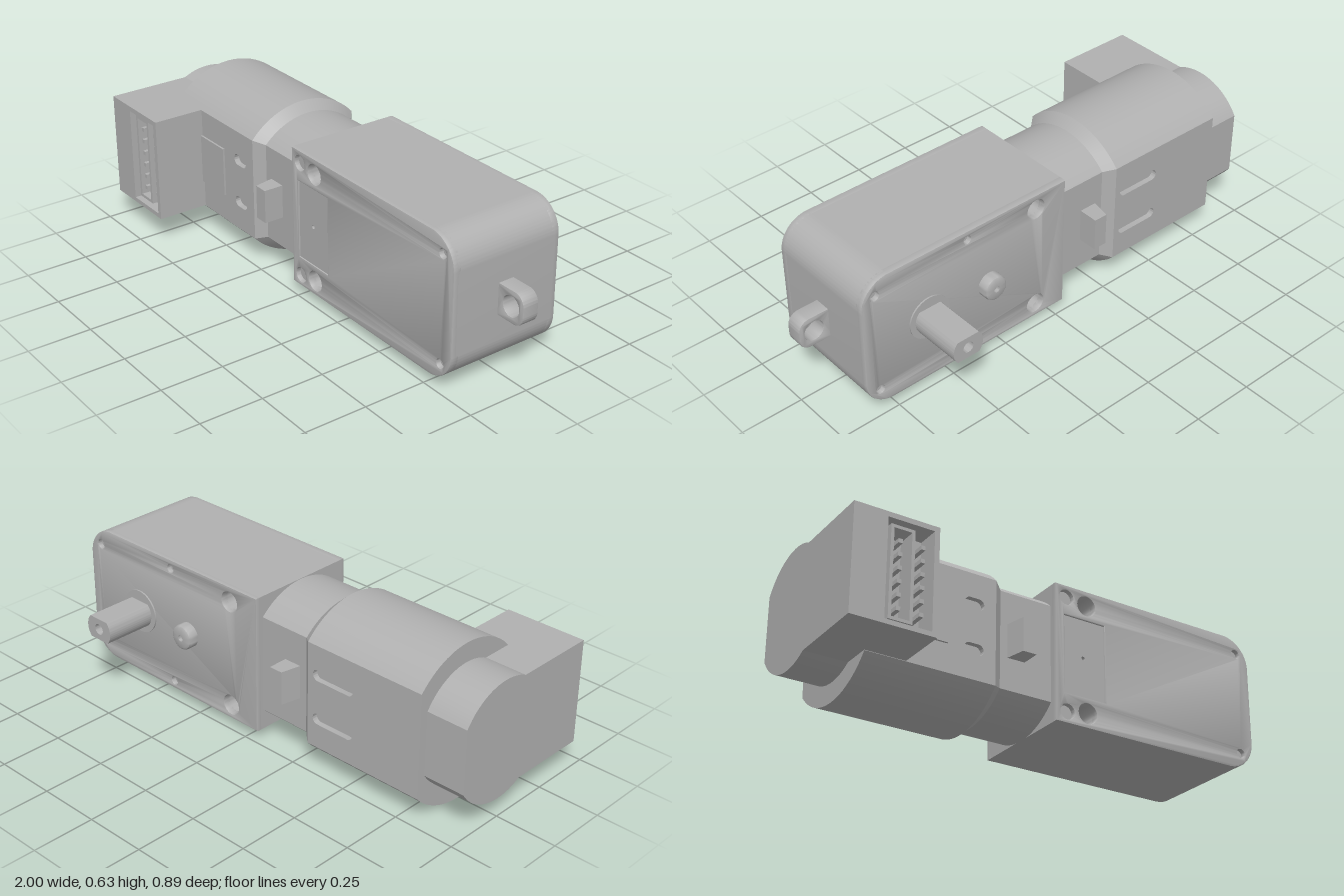
import * as THREE from 'three';
import { toCreasedNormals } from 'three/addons/utils/BufferGeometryUtils.js';

const CY = 0.318; // height of the motor axis

export function createModel() {
  const group = new THREE.Group();
  const grey = new THREE.MeshStandardMaterial({ color: 0xb0b0b0 });
  grey.name = 'plain grey';

  const add = (name, geo, x = 0, y = 0, z = 0) => {
    const mesh = new THREE.Mesh(geo, grey);
    mesh.name = name;
    mesh.position.set(x, y, z);
    group.add(mesh);
    return mesh;
  };
  const box = (name, x0, x1, y0, y1, z0, z1) =>
    add(name, new THREE.BoxGeometry(x1 - x0, y1 - y0, z1 - z0), (x0 + x1) / 2, (y0 + y1) / 2, (z0 + z1) / 2);

  // Outline helpers
  const circle = (x, y, r, Type = THREE.Path) => new Type().absarc(x, y, r, 0, Math.PI * 2, false);
  const poly = (pts, Type = THREE.Path) => new Type(pts.map(([x, y]) => new THREE.Vector2(x, y)));
  const rect = (x0, x1, y0, y1, Type) => poly([[x0, y0], [x1, y0], [x1, y1], [x0, y1]], Type);
  const slot = (x, y, len, r) => {
    const p = new THREE.Path();
    p.absarc(x + len / 2 - r, y, r, -Math.PI / 2, Math.PI / 2, false);
    p.absarc(x - len / 2 + r, y, r, Math.PI / 2, Math.PI * 1.5, false);
    return p;
  };
  // Extrusion between two z values, with an optional small edge bevel
  const slab = (name, shape, holes, z0, z1, bevel = 0) => {
    shape.holes.push(...holes);
    const geo = new THREE.ExtrudeGeometry(shape, {
      depth: z1 - z0 - 2 * bevel, curveSegments: 16, bevelEnabled: bevel > 0,
      bevelThickness: bevel, bevelSize: bevel, bevelOffset: -bevel, bevelSegments: 2,
    });
    return add(name, toCreasedNormals(geo, 0.5), 0, 0, z0 + bevel);
  };

  // Motor can, neck and rear cap: round sections with flattened sides, lofted along x
  const section = (r, flat, d) => {
    const a = Math.acos(flat / r), h = 0.95 * r * Math.sin(a), pts = [], n = 24;
    for (const s of [1, -1]) {
      pts.push([s * flat, -s * h], [s * (flat - d), -s * h], [s * (flat - d), s * h], [s * flat, s * h]);
      for (let i = 0; i <= n; i++) {
        const t = a + (Math.PI - 2 * a) * i / n;
        pts.push([s * r * Math.cos(t), s * r * Math.sin(t)]);
      }
    }
    return pts;
  };
  const loft = (stations) => {
    const pos = [], idx = [];
    const rings = stations.map(([x, r, flat, d]) => section(r, flat, d).map(([z, y]) => [x, y, z]));
    const n = rings[0].length;
    rings.forEach((ring) => ring.forEach((p) => pos.push(...p)));
    for (let k = 0; k < rings.length - 1; k++) {
      for (let i = 0; i < n; i++) {
        const a = k * n + i, b = k * n + (i + 1) % n;
        idx.push(a, a + n, b, a + n, b + n, b);
      }
    }
    const c0 = rings.length * n, last = c0 - n;
    pos.push(stations[0][0], 0, 0, stations[stations.length - 1][0], 0, 0);
    for (let i = 0; i < n; i++) {
      const j = (i + 1) % n;
      idx.push(c0, i, j, c0 + 1, last + j, last + i);
    }
    const geo = new THREE.BufferGeometry();
    geo.setAttribute('position', new THREE.Float32BufferAttribute(pos, 3));
    geo.setIndex(idx);
    return toCreasedNormals(geo, 0.5);
  };
  add('motorBody', loft([
    [-1, 0.238, 0.2, 0], [-0.83, 0.238, 0.2, 0],
    [-0.83, 0.315, 0.235, 0.022], [-0.31, 0.315, 0.235, 0.022], [-0.31, 0.315, 0.235, 0],
    [-0.27, 0.28, 0.2, 0], [-0.04, 0.28, 0.2, 0],
  ]), 0, CY, 0);

  // Flat side plates with vent slots, filling the pockets of the can
  const ph = 0.1993;
  const sidePlate = (name, len, x, dy, z0, z1) =>
    slab(name, rect(-0.83, -0.31, CY - ph, CY + ph, THREE.Shape),
      [slot(x, CY + dy, len, 0.022), slot(x, CY - dy, len, 0.022)], z0, z1);
  sidePlate('frontVentPlate', 0.08, -0.4, 0.09, 0.213, 0.235);
  sidePlate('backVentPlate', 0.19, -0.43, 0.09, -0.235, -0.213);
  box('frontLabelPlate', -0.67, -0.51, 0.22, 0.42, 0.23, 0.243);

  // Tapered clips on both sides of the neck
  for (const s of [1, -1]) {
    const clip = poly([[-0.24, 0.19], [-0.165, 0.19], [-0.165, 0.28], [-0.222, 0.28]], THREE.Shape);
    const geo = new THREE.ExtrudeGeometry(clip, { depth: 0.135, bevelEnabled: false });
    geo.rotateX(Math.PI / 2);
    if (s < 0) {
      geo.rotateX(Math.PI);
      geo.translate(0, -0.135, 0);
    }
    add(s > 0 ? 'frontClip' : 'backClip', geo, 0, CY + 0.0675, 0);
  }

  // Connector block with a pin socket
  box('connectorBase', -1, -0.67, 0.11, 0.53, 0, 0.35);
  slab('connectorShell', rect(-1, -0.67, 0.11, 0.53, THREE.Shape), [rect(-0.87, -0.69, 0.128, 0.51)], 0.35, 0.445);
  slab('socketFrame', rect(-0.85, -0.757, 0.14, 0.498, THREE.Shape), [rect(-0.838, -0.769, 0.152, 0.486)], 0.34, 0.43);
  for (const x of [-0.81, -0.722]) {
    for (let i = 0; i < 6; i++) {
      const y = 0.19 + i * 0.051;
      box('connectorPin', x - 0.008, x + 0.008, y - 0.008, y + 0.008, 0.34, 0.425);
    }
  }

  // Gearbox: core plus a bevelled cover on each face
  const outline = () => {
    const r = 0.12, x0 = -0.05, x1 = 0.875, y0 = 0.04, y1 = 0.6;
    const s = new THREE.Shape();
    s.moveTo(x0, y0).lineTo(x1 - r, y0);
    s.absarc(x1 - r, y0 + r, r, -Math.PI / 2, 0, false);
    s.absarc(x1 - r, y1 - r, r, 0, Math.PI / 2, false);
    s.lineTo(x0, y1);
    return s;
  };
  const pair = (x, dy, r) => [circle(x, CY + dy, r), circle(x, CY - dy, r)];
  const through = () => pair(0.09, 0.22, 0.04);
  slab('gearboxCore', outline(), through(), -0.215, 0.215);
  slab('gearboxFrontCover', outline(),
    [...through(), ...pair(0, 0.233, 0.03), ...pair(0.815, 0.213, 0.018), rect(-0.01, 0.17, 0.16, 0.476)], 0.2, 0.235, 0.005);
  slab('gearboxBackCover', outline(),
    [...through(), ...pair(0.005, 0.165, 0.045), ...pair(0.815, 0.213, 0.018), ...pair(0.41, 0.245, 0.016)], -0.235, -0.2, 0.005);
  slab('recessedPanel', rect(-0.012, 0.172, 0.158, 0.478, THREE.Shape), [circle(0.075, CY, 0.008)], 0.21, 0.229);

  // Cross-head screws
  for (const s of [1, -1]) {
    const y = CY + s * 0.165, w = 0.006, l = 0.024;
    const cross = [[-l, -w], [-w, -w], [-w, -l], [w, -l], [w, -w], [l, -w], [l, w], [w, w], [w, l], [-w, l], [-w, w], [-l, w]];
    slab('screwHead', circle(0.005, y, 0.038, THREE.Shape), [poly(cross.map(([a, b]) => [a + 0.005, b + y]))], -0.232, -0.21);
  }

  // Output shaft with two flats, and its collar
  const a = Math.asin(0.045 / 0.065);
  const shaft = new THREE.Shape();
  shaft.absarc(0.59, CY, 0.065, -a, a, false);
  shaft.absarc(0.59, CY, 0.065, Math.PI - a, Math.PI + a, false);
  slab('outputShaft', shaft, [circle(0.59, CY, 0.022)], -0.45, -0.23);
  slab('shaftCollar', circle(0.59, CY, 0.088, THREE.Shape), [], -0.241, -0.23);

  // Round locating boss with a dimple
  const boss = new THREE.LatheGeometry(
    [[0.05, 0], [0.05, 0.032], [0.047, 0.04], [0.039, 0.045], [0.013, 0.045], [0.013, 0.03], [0, 0.03]]
      .map(([r, y]) => new THREE.Vector2(r, y)), 32);
  boss.rotateX(-Math.PI / 2);
  add('locatingBoss', toCreasedNormals(boss, 0.6), 0.315, CY, -0.235);

  // Mounting lug on the end
  const lug = new THREE.Shape();
  lug.moveTo(0.86, CY - 0.063).lineTo(0.955, CY - 0.063);
  lug.absarc(0.955, CY - 0.018, 0.045, -Math.PI / 2, 0, false);
  lug.absarc(0.955, CY + 0.018, 0.045, 0, Math.PI / 2, false);
  lug.lineTo(0.86, CY + 0.063);
  slab('mountingLug', lug, [circle(0.938, CY, 0.04)], -0.034, 0.034, 0.004);

  return group;
}
